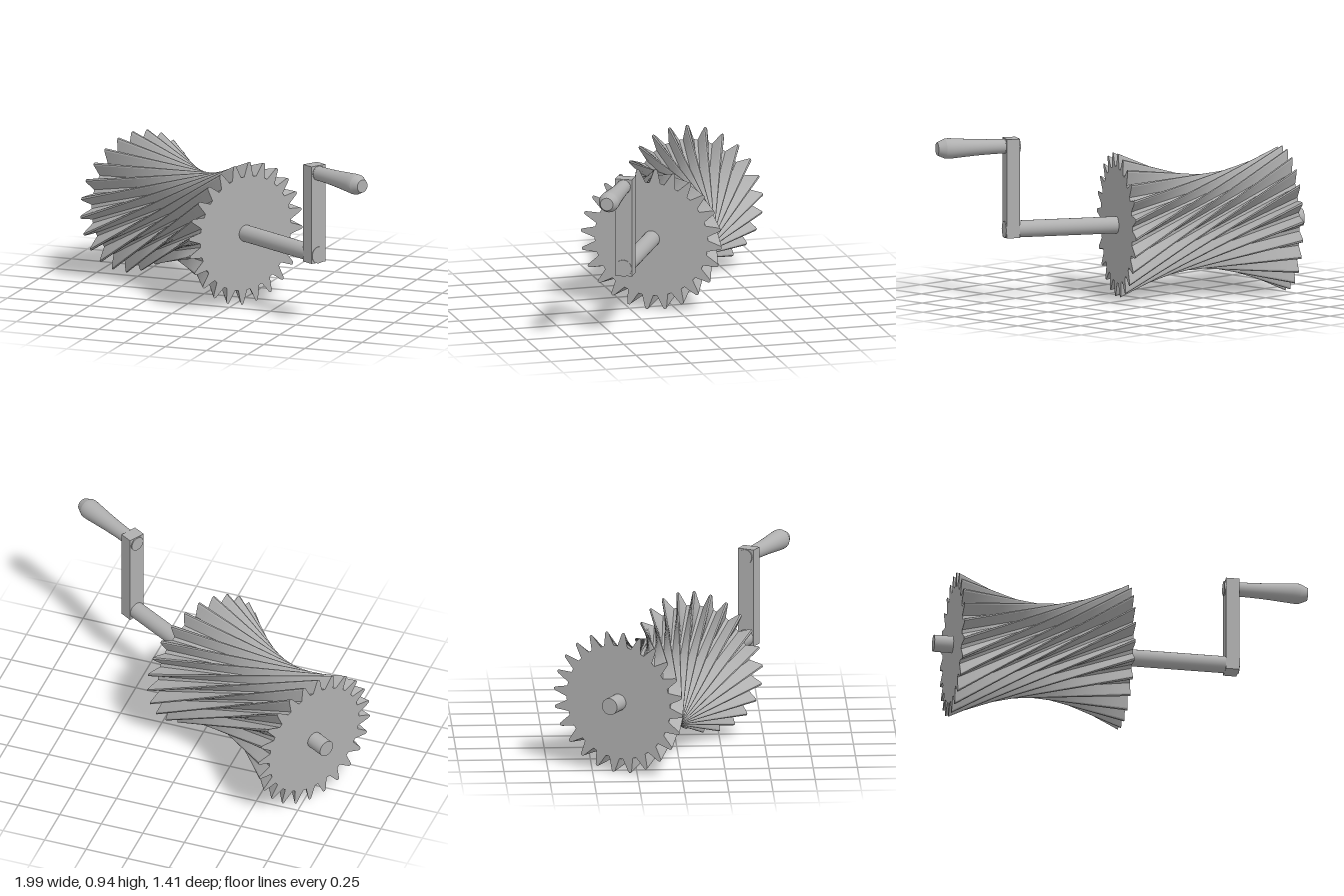
import * as THREE from 'three';
import { mergeGeometries } from 'three/addons/utils/BufferGeometryUtils.js';

const TEETH = 24, LENGTH = 0.982, TIP = 0.411, ROOT = 0.33;
const TWIST = THREE.MathUtils.degToRad(98.2);
const START = THREE.MathUtils.degToRad(86.3);

// Closed counter-clockwise gear outline, turned by a given angle
function gearOutline(turn) {
  const pitch = (Math.PI * 2) / TEETH;
  // [fraction of pitch from tooth centre, radius]
  const tooth = [[-0.37, ROOT], [-0.1, TIP - 0.008], [-0.05, TIP], [0.05, TIP], [0.1, TIP - 0.008], [0.37, ROOT]];
  const pts = [];
  for (let i = 0; i < TEETH; i++) {
    for (const [f, r] of tooth) {
      const a = turn + (i + f) * pitch;
      pts.push(new THREE.Vector2(Math.cos(a) * r, Math.sin(a) * r));
    }
  }
  return pts;
}

// Straight-ruled strips between the two end outlines, one per flank so edges stay sharp
function ruledSides(back, front, steps) {
  const pos = [], idx = [];
  const n = back.length;
  for (let i = 0; i < n; i++) {
    const base = pos.length / 3;
    for (let j = 0; j <= steps; j++) {
      const t = j / steps;
      for (const k of [i, (i + 1) % n]) {
        const p = back[k].clone().lerp(front[k], t);
        pos.push(p.x, p.y, (t - 0.5) * LENGTH);
      }
      if (j < steps) {
        const a = base + j * 2;
        idx.push(a, a + 1, a + 2, a + 1, a + 3, a + 2);
      }
    }
  }
  const g = new THREE.BufferGeometry();
  g.setAttribute('position', new THREE.Float32BufferAttribute(pos, 3));
  g.setIndex(idx);
  g.computeVertexNormals();
  return g;
}

// Cylinder running along z from z0 to z1
function rod(r, z0, z1) {
  return new THREE.CylinderGeometry(r, r, z1 - z0, 32).rotateX(Math.PI / 2).translate(0, 0, (z0 + z1) / 2);
}

export function createModel() {
  const metal = new THREE.MeshStandardMaterial({ color: 0xb0b0b0 });
  metal.name = 'grey metal';

  const model = new THREE.Group();
  model.name = 'crankedHyperboloidGear';
  const axle = new THREE.Group(); // local z is the gear axis
  axle.name = 'axleAssembly';
  axle.position.set(-0.37, 0.411, -0.109);
  axle.rotation.y = Math.PI / 3;
  model.add(axle);

  const add = (name, geometry, y = 0) => {
    const mesh = new THREE.Mesh(geometry, metal);
    mesh.name = name;
    mesh.position.y = y;
    axle.add(mesh);
  };

  // Skewed gear body
  const back = gearOutline(START + TWIST), front = gearOutline(START);
  add('gearTeeth', ruledSides(back, front, 28));

  // Flat gear ends
  const frontCap = new THREE.ShapeGeometry(new THREE.Shape(front)).translate(0, 0, LENGTH / 2);
  const mirrored = back.map((p) => new THREE.Vector2(-p.x, p.y)).reverse();
  const backCap = new THREE.ShapeGeometry(new THREE.Shape(mirrored)).rotateY(Math.PI).translate(0, 0, -LENGTH / 2);
  add('gearEnds', mergeGeometries([frontCap, backCap]));

  // Shaft stub behind, long shaft in front
  add('backShaft', rod(0.048, -0.6, -LENGTH / 2));
  add('frontShaft', rod(0.048, LENGTH / 2, 1.08));

  // Crank arm with short hubs at both ends
  const armZ = 1.11, handleY = 0.476;
  add('crankArm', new THREE.BoxGeometry(0.1, 0.565, 0.076).translate(0, 0.2375, armZ));
  add('lowerHub', rod(0.048, armZ - 0.045, armZ + 0.042));
  add('upperHub', rod(0.042, armZ - 0.045, armZ + 0.042), handleY);

  // Flared handle with a chamfered end
  const flare = new THREE.SplineCurve([
    [0.041, 1.14], [0.0415, 1.2], [0.046, 1.31], [0.054, 1.42], [0.058, 1.475], [0.057, 1.5],
  ].map(([r, z]) => new THREE.Vector2(r, z))).getPoints(20);
  const grip = new THREE.LatheGeometry(flare, 32).rotateX(Math.PI / 2);
  const chamfer = new THREE.CylinderGeometry(0.037, 0.057, 0.045, 32).rotateX(Math.PI / 2).translate(0, 0, 1.5225);
  add('handleGrip', grip, handleY);
  add('handleTip', chamfer, handleY);

  return model;
}
